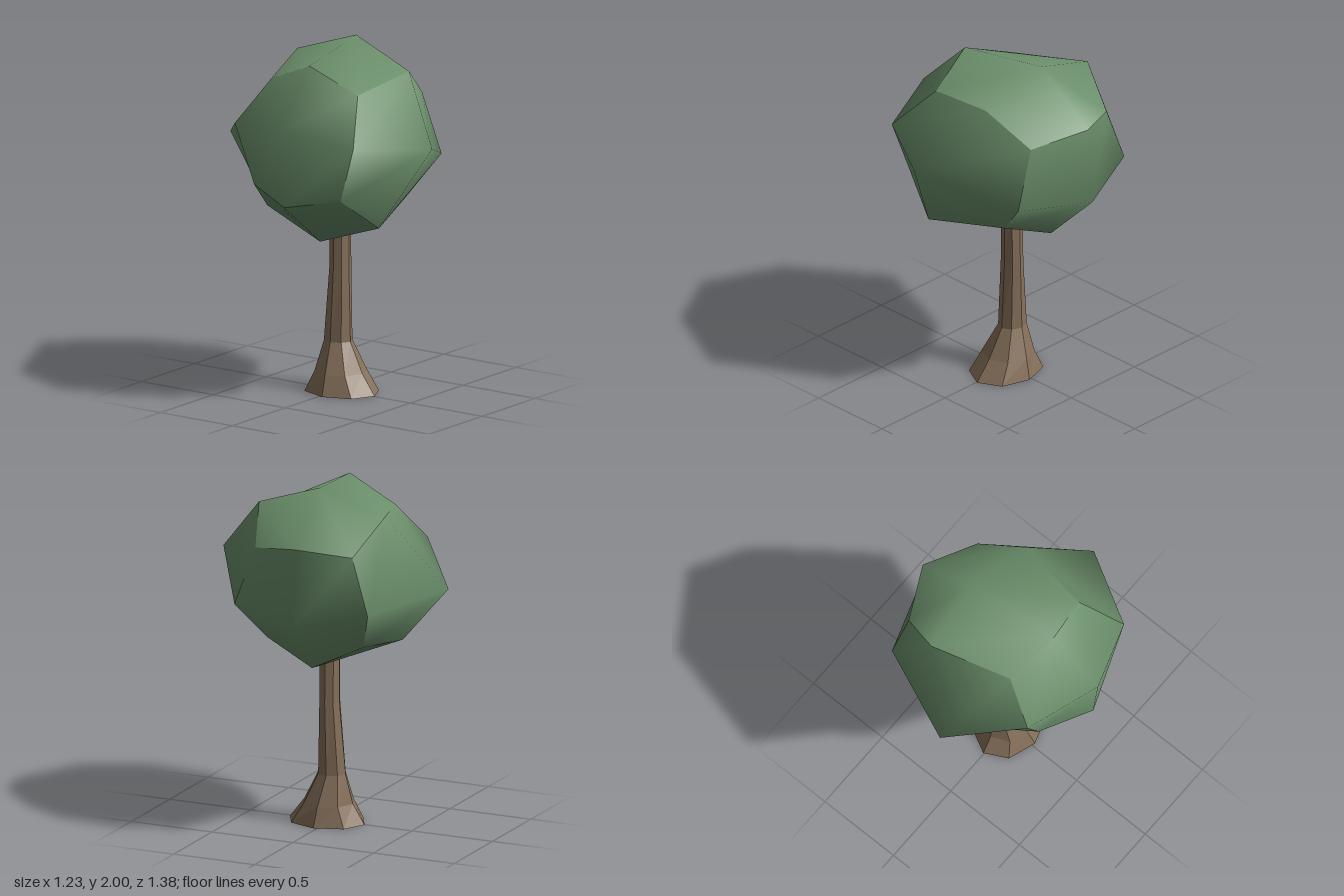
import * as THREE from 'three';

const CENTRE_Y = 1.455;

// Front lattice points of the crown, relative to its centre, keyed by column,row
const FRONT = {
  '-1,1': [-0.25, 0.345, 0.32], '0,1': [0.18, 0.405, 0.36], '1,1': [0.44, 0.215, 0.26],
  '-1,0': [-0.47, 0.095, 0.45], '0,0': [-0.05, 0.05, 0.69], '1,0': [0.46, -0.125, 0.38],
  '-1,-1': [-0.44, -0.225, 0.34], '0,-1': [-0.2, -0.415, 0.43], '1,-1': [0.25, -0.355, 0.28],
};
// Half of the middle ring; the other half is its point reflection
const MIDDLE = {
  '-1,1': [-0.31, 0.485, 0.03], '0,1': [0.225, 0.545, -0.04],
  '1,1': [0.58, 0.275, -0.05], '1,0': [0.615, -0.175, -0.05],
};
const BACK_TIP = [-0.08, -0.045, -0.69];

function crownPoint(i, j, k) {
  if (k < 0 && i === 0 && j === 0) return BACK_TIP;
  const direct = k > 0 ? FRONT[`${i},${j}`] : k === 0 ? MIDDLE[`${i},${j}`] : null;
  if (direct) return direct;
  const table = k < 0 ? FRONT : MIDDLE;
  return table[`${0 - i},${0 - j}`].map((v) => -v);
}

// Crown: a box of 2x2 patches pushed out to a lumpy ball, smooth within each patch
function makeCrown() {
  const geo = new THREE.BoxGeometry(2, 2, 2, 2, 2, 2);
  const pos = geo.attributes.position;
  for (let n = 0; n < pos.count; n++) {
    const [i, j, k] = [pos.getX(n), pos.getY(n), pos.getZ(n)].map((v) => Math.round(v));
    pos.setXYZ(n, ...crownPoint(i, j, k));
  }
  geo.computeVertexNormals();
  const crown = new THREE.Mesh(geo, new THREE.MeshStandardMaterial({ color: 0x6b8f6b }));
  crown.name = 'crown';
  crown.position.y = CENTRE_Y;
  return crown;
}

// Trunk: eight-sided rings from the flared root up into the crown
function makeTrunk() {
  // y, centre x, radius x, centre z, radius z
  const rings = [
    [0, 0.005, 0.185, 0.02, 0.23],
    [0.115, 0.01, 0.148, 0.01, 0.15],
    [0.285, 0.02, 0.075, -0.015, 0.085],
    [0.7, 0.027, 0.066, -0.005, 0.06],
    [1.05, 0.025, 0.06, -0.005, 0.06],
  ];
  const geo = new THREE.CylinderGeometry(1, 1, 1, 8, rings.length - 1);
  const pos = geo.attributes.position;
  for (let n = 0; n < pos.count; n++) {
    const [y, cx, rx, cz, rz] = rings[Math.round((pos.getY(n) + 0.5) * (rings.length - 1))];
    pos.setXYZ(n, cx + pos.getX(n) * rx, y, cz + pos.getZ(n) * rz);
  }
  geo.computeVertexNormals();
  const trunk = new THREE.Mesh(
    geo,
    new THREE.MeshStandardMaterial({ color: 0x86705a, flatShading: true }),
  );
  trunk.name = 'trunk';
  return trunk;
}

export function createModel() {
  const tree = new THREE.Group();
  tree.name = 'tree';
  tree.add(makeTrunk(), makeCrown());
  return tree;
}
